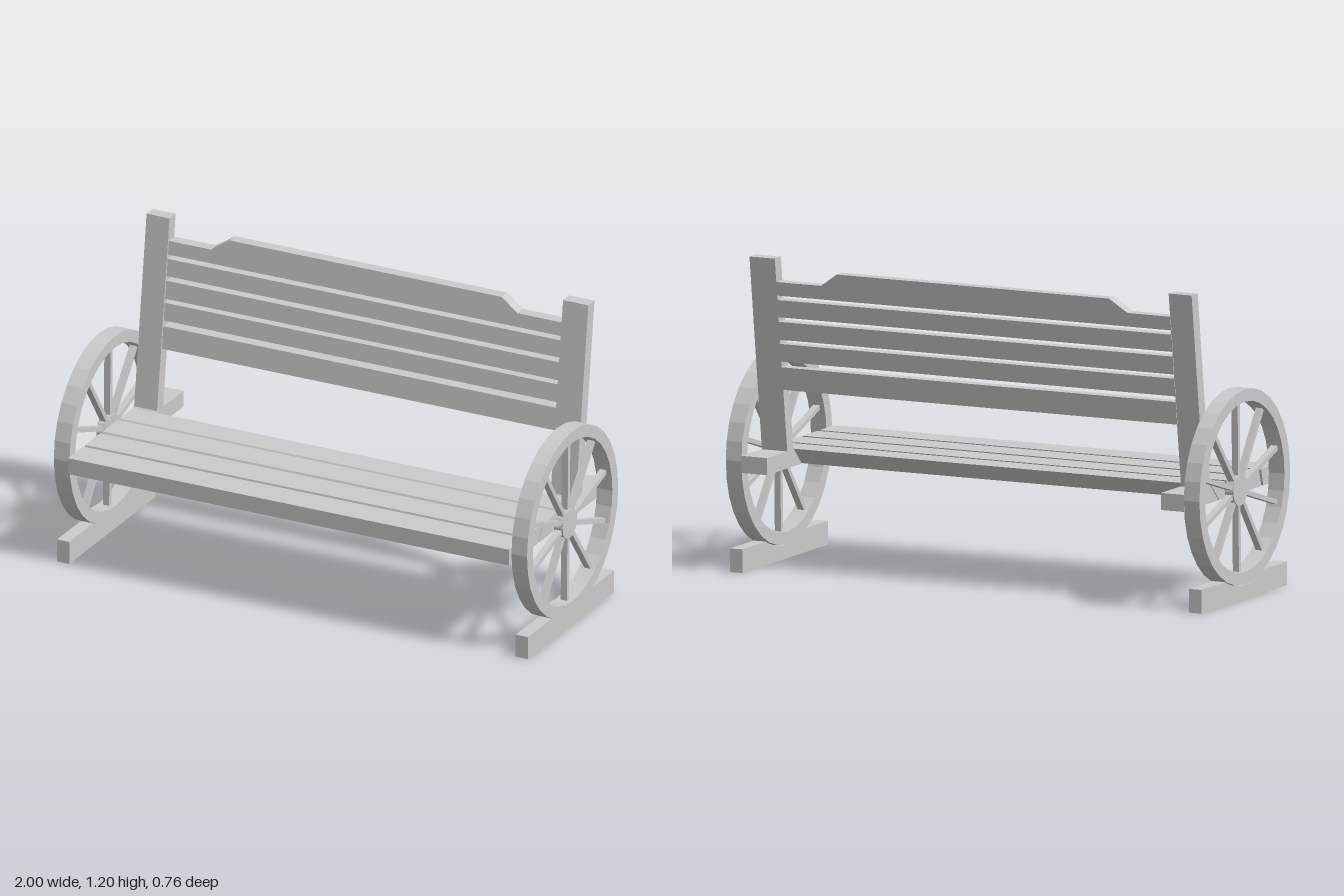
import * as THREE from 'three';

const material = new THREE.MeshStandardMaterial({ color: 0xcccccc, flatShading: true });

export function createModel() {
  const bench = new THREE.Group();
  bench.name = 'wagonWheelBench';

  const add = (name, geometry) => {
    const mesh = new THREE.Mesh(geometry, material);
    mesh.name = name;
    bench.add(mesh);
    return mesh;
  };

  // Extrude a side outline (drawn in -z, y) from x0 to x1
  const extrudeX = (shape, x0, x1, curveSegments = 16) =>
    new THREE.ExtrudeGeometry(shape, { depth: x1 - x0, bevelEnabled: false, curveSegments })
      .rotateY(Math.PI / 2).translate(x0, 0, 0);
  const prism = (points, x0, x1) =>
    extrudeX(new THREE.Shape(points.map(([z, y]) => new THREE.Vector2(-z, y))), x0, x1);

  // Seat slats: [front top, front bottom, back top, back bottom] in z
  const seatBottom = 0.385, seatTop = 0.45;
  [
    [0.38, 0.38, 0.257, 0.276],
    [0.24, 0.26, 0.117, 0.149],
    [0.098, 0.133, -0.024, 0.024],
    [-0.041, 0.008, -0.15, -0.085],
  ].forEach(([ft, fb, bt, bb], i) => add(`seatSlat${i + 1}`, prism(
    [[ft, seatTop], [bt, seatTop], [bb, seatBottom], [fb, seatBottom]], -0.932, 0.932)));

  // Leaning posts, each on a block behind the seat
  const lean = (y) => -0.165 - (y - 0.45) * 0.136;
  for (const [side, x0, x1] of [['left', 0.825, 0.932], ['right', -0.935, -0.838]]) {
    add(`${side}Post`, prism([[lean(0.45), 0.45], [lean(1.2), 1.2],
      [lean(1.2) - 0.05, 1.2], [lean(0.45) - 0.05, 0.45]], x0, x1));
    add(`${side}PostBlock`, prism([[-0.16, seatTop], [-0.38, seatTop],
      [-0.38, seatBottom], [-0.095, seatBottom]], x0, x1));
  }

  // Backrest boards: outlines in x, y, sheared back along the lean of the posts
  const board = (name, points) => {
    const shape = new THREE.Shape(points.map(([x, y]) => new THREE.Vector2(x, y)));
    const geometry = new THREE.ExtrudeGeometry(shape, { depth: 0.046, bevelEnabled: false });
    const p = geometry.attributes.position;
    for (let i = 0; i < p.count; i++) p.setZ(i, p.getZ(i) + lean(p.getY(i)) - 0.053);
    geometry.computeVertexNormals();
    add(name, geometry);
  };
  [[0.69, 0.778], [0.8, 0.869], [0.885, 0.955], [0.973, 1.04]].forEach(([y0, y1], i) =>
    board(`backSlat${i + 1}`, [[-0.84, y0], [0.827, y0], [0.827, y1], [-0.84, y1]]));
  board('crestRail', [[-0.84, 1.057], [0.827, 1.057], [0.827, 1.11], [0.635, 1.11],
    [0.565, 1.16], [-0.585, 1.16], [-0.66, 1.11], [-0.84, 1.11]]);

  // Wheels, with their spokes running from the hub to the rim
  const cy = 0.428, cz = -0.007, hubY = 0.415, hubZ = -0.013;
  const spokeAngles = [14, 48, 88, 125, 162, 199, 235, 270, 306, 339];
  for (const [side, s] of [['left', 1], ['right', -1]]) {
    const rim = new THREE.Shape().absarc(-cz, cy, 0.372, 0, Math.PI * 2);
    rim.holes.push(new THREE.Path().absarc(-cz, cy, 0.325, 0, Math.PI * 2, true));
    const inner = s * 0.934, outer = s;
    add(`${side}WheelRim`, extrudeX(rim, Math.min(inner, outer), Math.max(inner, outer)));

    const hub = add(`${side}WheelHub`, new THREE.CylinderGeometry(0.059, 0.059, 0.036, 20)
      .rotateZ(Math.PI / 2));
    hub.position.set(s * 0.967, hubY, hubZ);

    for (const degrees of spokeAngles) {
      const a = THREE.MathUtils.degToRad(degrees);
      const dy = cy + 0.328 * Math.sin(a) - hubY;
      const dz = cz - 0.328 * Math.cos(a) - hubZ;
      const spoke = add(`${side}WheelSpoke`,
        new THREE.BoxGeometry(0.026, Math.hypot(dy, dz), 0.018));
      spoke.position.set(s * 0.967, hubY + dy / 2, hubZ + dz / 2);
      spoke.rotation.x = Math.atan2(dz, dy);
    }

    // Foot beam with a saddle cut for the rim
    const r = 0.374, half = Math.acos((cy - 0.09) / r);
    const foot = new THREE.Shape();
    foot.moveTo(-0.343, 0);
    foot.lineTo(0.36, 0);
    foot.lineTo(0.36, 0.09);
    foot.absarc(-cz, cy, r, -Math.PI / 2 + half, -Math.PI / 2 - half, true);
    foot.lineTo(-0.343, 0.09);
    const [f0, f1] = s > 0 ? [0.94, 0.992] : [-0.998, -0.946];
    add(`${side}FootBeam`, extrudeX(foot, f0, f1, 8));
  }

  return bench;
}
